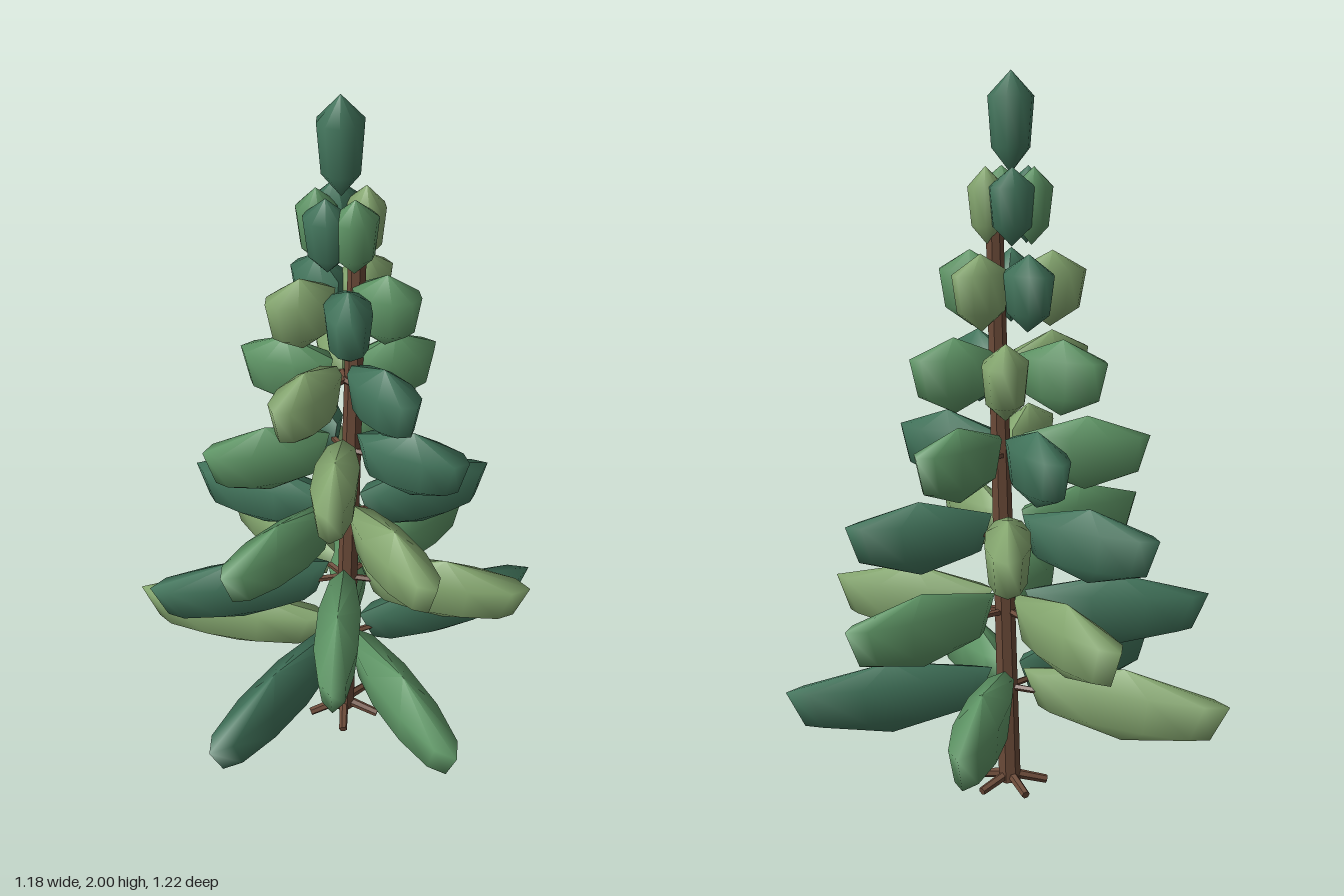
import * as THREE from 'three';

const mat = (color, flatShading = false) => new THREE.MeshStandardMaterial({ color, flatShading });
const GREENS = { d: mat(0x42755c), m: mat(0x5f9666), l: mat(0x86a870) };
const BARK = mat(0x6b4a38, true);

// Faceted foliage pad: three-band ball, a little wider above than below
function padGeometry(halfLength, halfHeight, halfWidth) {
  const g = new THREE.SphereGeometry(1, 10, 3);
  const p = g.attributes.position;
  for (let i = 0; i < p.count; i++) {
    const y = p.getY(i), k = (1 + 0.18 * y) / 0.866;
    p.setXYZ(i, p.getX(i) * k * halfLength, y * halfHeight, p.getZ(i) * k * halfWidth);
  }
  g.computeVertexNormals();
  return g;
}

// Cylinder between two points
function stick(name, a, b, rA, rB, sides) {
  const dir = b.clone().sub(a);
  const mesh = new THREE.Mesh(new THREE.CylinderGeometry(rB, rA, dir.length(), sides), BARK);
  mesh.position.copy(a).add(b).multiplyScalar(0.5);
  mesh.quaternion.setFromUnitVectors(new THREE.Vector3(0, 1, 0), dir.normalize());
  mesh.name = name;
  return mesh;
}

// Tiers from bottom to top: height, then branch tips as [x, z, shade]
const TIERS = [
  [0.303, [[0.59, -0.10, 'd'], [0.17, -0.61, 'm'], [-0.58, -0.35, 'l'], [-0.53, 0.40, 'd'], [0.10, 0.61, 'm']]],
  [0.527, [[-0.59, -0.06, 'd'], [0.44, 0.25, 'l'], [-0.25, -0.52, 'l'], [-0.22, 0.51, 'm'], [0.43, -0.28, 'm']]],
  [0.752, [[0.03, -0.47, 'l'], [0.42, -0.07, 'd'], [0.09, 0.44, 'l'], [-0.44, 0.23, 'm'], [-0.39, -0.31, 'd']]],
  [0.976, [[-0.42, -0.03, 'm'], [0.24, -0.25, 'm'], [-0.12, -0.38, 'd'], [0.25, 0.22, 'd'], [-0.18, 0.35, 'l']]],
  [1.2, [[0.24, -0.05, 'm'], [0.09, 0.25, 'd'], [0.02, -0.29, 'l'], [-0.27, 0.17, 'l'], [-0.27, -0.18, 'm']]],
  [1.427, [[-0.245, 0.02, 'l'], [0.145, 0.10, 'm'], [-0.07, 0.20, 'd'], [0.12, -0.14, 'l'], [-0.10, -0.20, 'd']]],
  [1.65, [[0.08, -0.02, 'l'], [-0.01, 0.11, 'm'], [-0.13, 0.06, 'd'], [-0.14, -0.06, 'm'], [-0.03, -0.13, 'd']]],
];

export function createModel() {
  const tree = new THREE.Group();
  tree.name = 'pineTree';
  const cx = -0.03, cz = -0.01;

  // Leaning trunk
  const base = new THREE.Vector3(-0.035, 0.02, cz);
  const top = new THREE.Vector3(0.01, 1.65, cz);
  tree.add(stick('trunk', base, top, 0.032, 0.024, 7));

  // Roots
  for (let i = 0; i < 5; i++) {
    const a = Math.PI + (i * Math.PI * 2) / 5;
    const end = new THREE.Vector3(base.x + Math.cos(a) * 0.107, 0.015, cz + Math.sin(a) * 0.107);
    tree.add(stick('root', new THREE.Vector3(base.x, 0.042, cz), end, 0.014, 0.012, 6));
  }

  // Foliage tiers
  for (const [y, tips] of TIERS) {
    const tier = new THREE.Group();
    tier.name = 'branchTier';
    for (const [x, z, shade] of tips) {
      const reach = Math.hypot(x - cx, z - cz), angle = Math.atan2(z - cz, x - cx);
      const inner = Math.min(0.045, reach * 0.1);
      const mid = (reach + inner) / 2;
      const branch = new THREE.Group();
      branch.name = 'branch';
      const pad = new THREE.Mesh(padGeometry((reach - inner) / 2 / 1.09, 0.103, 0.058), GREENS[shade]);
      pad.name = 'foliage';
      pad.position.x = mid;
      pad.rotation.z = -0.03;
      const twig = stick('twig', new THREE.Vector3(0, 0, 0), new THREE.Vector3(mid, 0, 0), 0.01, 0.006, 5);
      branch.add(pad, twig);
      branch.position.set(cx, y, cz);
      branch.rotation.y = -angle;
      tier.add(branch);
    }
    tree.add(tier);
  }

  // Crown
  const crown = new THREE.Mesh(padGeometry(0.057, 0.133, 0.057), GREENS.d);
  crown.name = 'crown';
  crown.position.set(-0.035, 1.867, cz);
  tree.add(crown);
  return tree;
}
